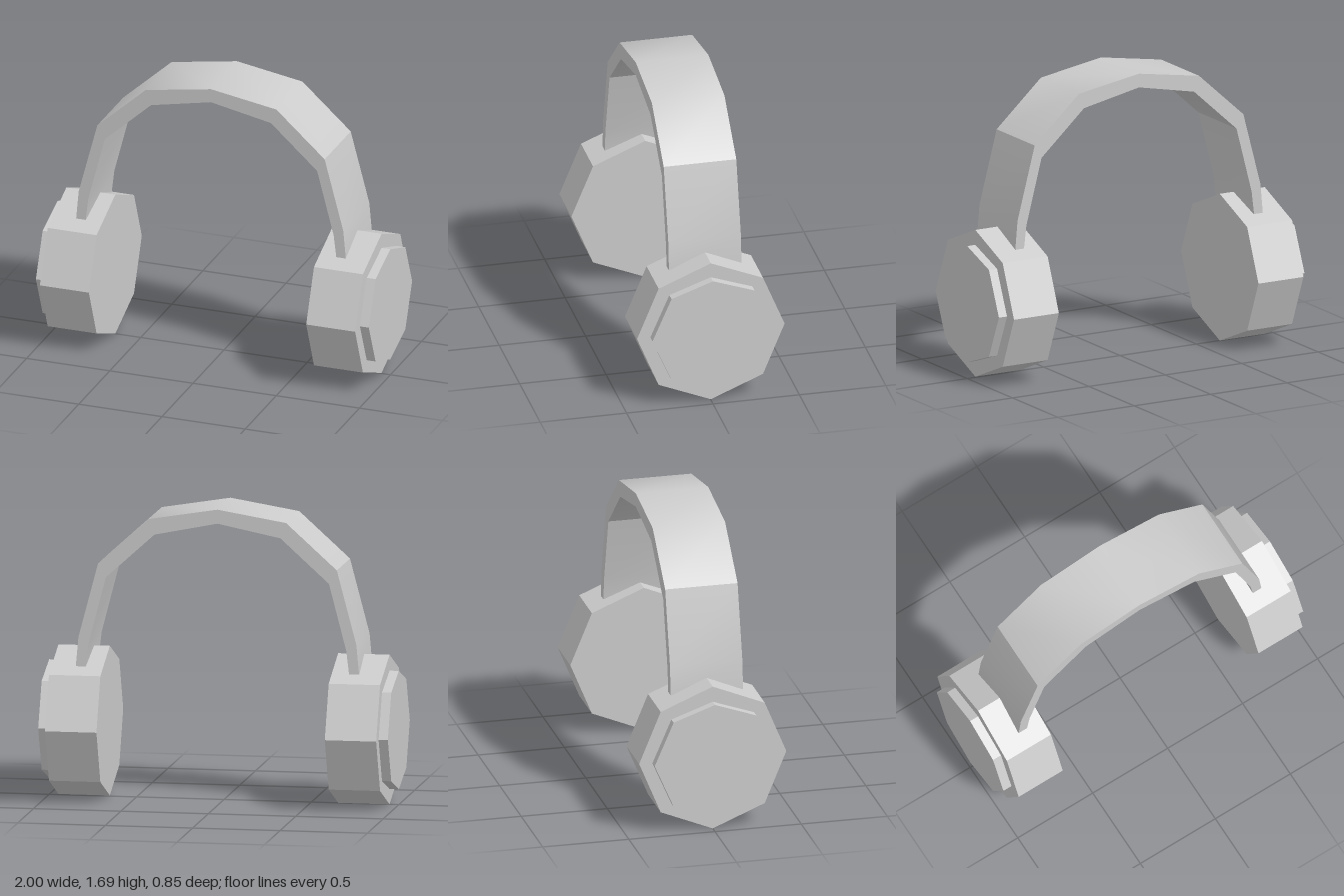
import * as THREE from 'three';
import { toCreasedNormals } from 'three/addons/utils/BufferGeometryUtils.js';

const material = new THREE.MeshStandardMaterial({ color: 0xcccccc });
const flat = new THREE.MeshStandardMaterial({ color: 0xcccccc, flatShading: true });

function shapeFrom(points) {
  return new THREE.Shape(points.map(([x, y]) => new THREE.Vector2(x, y)));
}

// Octagonal prism lying along x, with a corner at the top.
// r: half width and half height, d: offset of the diagonal corners.
function octagon(name, [rz, ry], [dz, dy], y, x0, x1) {
  const shape = shapeFrom([
    [rz, 0], [dz, dy], [0, ry], [-dz, dy], [-rz, 0], [-dz, -dy], [0, -ry], [dz, -dy],
  ]);
  const geometry = new THREE.ExtrudeGeometry(shape, { depth: x1 - x0, bevelEnabled: false });
  geometry.rotateY(Math.PI / 2);
  const mesh = new THREE.Mesh(geometry, flat);
  mesh.name = name;
  mesh.position.set(x0, y, 0);
  return mesh;
}

// Faceted arch, outlined from one half and extruded to the band's width
function createHeadband() {
  const outer = [[0.81, 0.772], [0.795, 0.94], [0.683, 1.363], [0.393, 1.625]];
  const inner = [[0.753, 0.772], [0.737, 0.905], [0.638, 1.285], [0.36, 1.537]];
  const mirror = (half) => half.map(([x, y]) => [-x, y]).reverse();
  const outline = [
    ...outer, [0, 1.69], ...mirror(outer),
    ...mirror(inner).reverse(), [0, 1.61], ...[...inner].reverse(),
  ];
  const width = 0.42;
  const geometry = new THREE.ExtrudeGeometry(shapeFrom(outline), { depth: width, bevelEnabled: false });
  geometry.translate(0, 0, -width / 2);
  const mesh = new THREE.Mesh(toCreasedNormals(geometry, THREE.MathUtils.degToRad(33)), material);
  mesh.name = 'headband';
  return mesh;
}

export function createModel() {
  const model = new THREE.Group();
  model.name = 'headphones';
  model.add(createHeadband());

  for (const side of [1, -1]) {
    const ear = new THREE.Group();
    ear.name = side > 0 ? 'leftEarpiece' : 'rightEarpiece';
    const span = (a, b) => (side > 0 ? [a, b] : [-b, -a]);
    // Thick ear cup and the thin cap on its outer face
    ear.add(octagon('earCup', [0.427, 0.427], [0.302, 0.302], 0.431 + side * 0.002, ...span(0.653, 0.947)));
    ear.add(octagon('outerCap', [0.35, 0.338], [0.24, 0.253], 0.431 + side * 0.004, ...span(0.94, 1)));
    model.add(ear);
  }
  return model;
}
